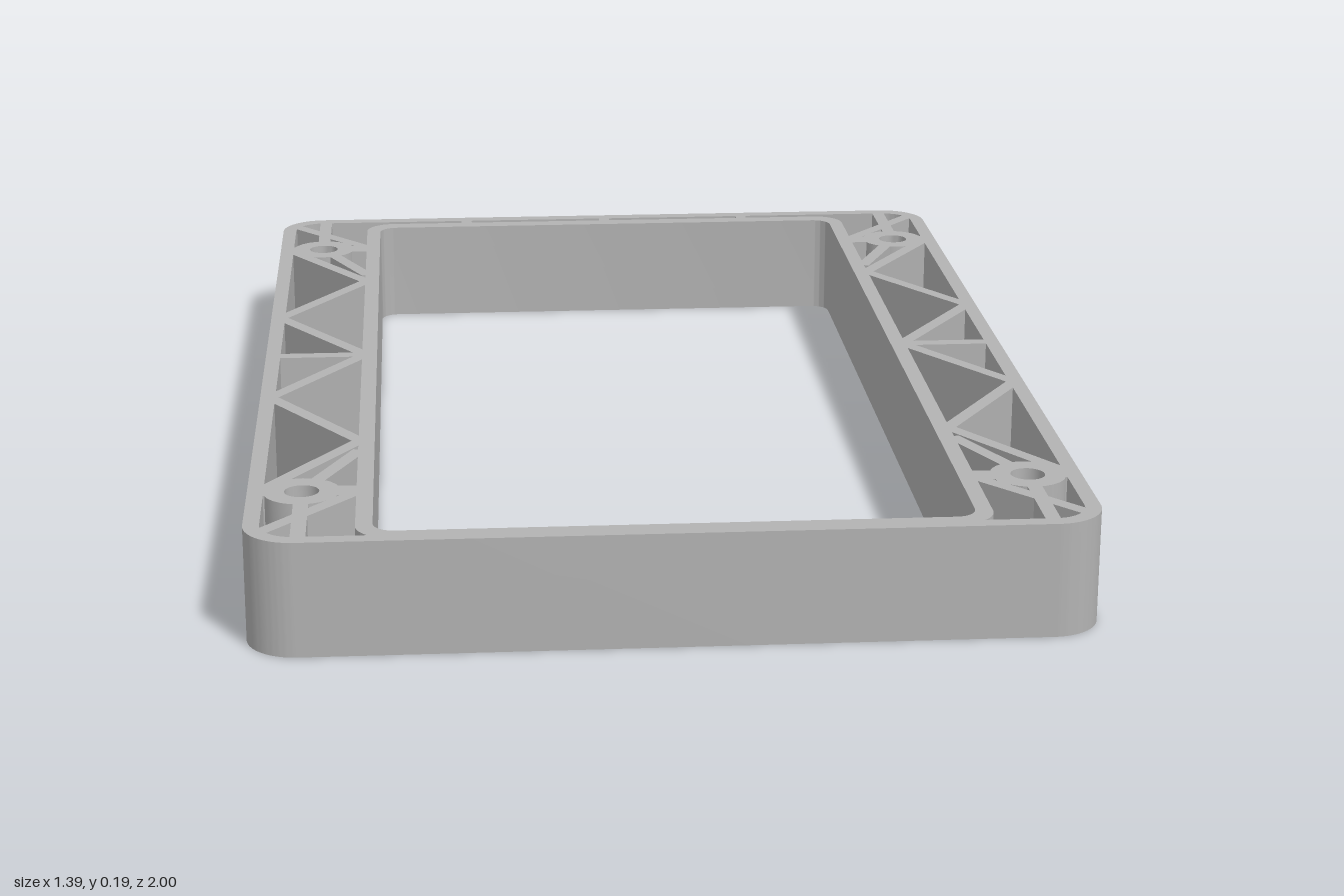
import * as THREE from 'three';
import { toCreasedNormals } from 'three/addons/utils/BufferGeometryUtils.js';

const HEIGHT = 0.195;

// Rounded rectangle outline in plan; shape y equals -z
function outline(target, halfW, zBack, zFront, r) {
  const y0 = -zFront, y1 = -zBack;
  target.moveTo(-halfW + r, y0);
  target.lineTo(halfW - r, y0);
  target.absarc(halfW - r, y0 + r, r, -Math.PI / 2, 0, false);
  target.lineTo(halfW, y1 - r);
  target.absarc(halfW - r, y1 - r, r, 0, Math.PI / 2, false);
  target.lineTo(-halfW + r, y1);
  target.absarc(-halfW + r, y1 - r, r, Math.PI / 2, Math.PI, false);
  target.lineTo(-halfW, y0 + r);
  target.absarc(-halfW + r, y0 + r, r, Math.PI, Math.PI * 1.5, false);
  target.closePath();
  return target;
}

// Stand a plan shape up to the full height of the frame
function raise(shape) {
  const geo = new THREE.ExtrudeGeometry(shape, { depth: HEIGHT, bevelEnabled: false, curveSegments: 12 });
  geo.rotateX(-Math.PI / 2);
  return toCreasedNormals(geo, 0.6);
}

export function createModel() {
  const group = new THREE.Group();
  const grey = new THREE.MeshStandardMaterial({ color: 0xb3b3b3 });
  grey.name = 'grey plastic';

  const add = (name, geo) => {
    const mesh = new THREE.Mesh(geo, grey);
    mesh.name = name;
    group.add(mesh);
    return mesh;
  };

  // Upright plate between two plan points
  const rib = (name, x1, z1, x2, z2, thickness = 0.025) => {
    const dx = x2 - x1, dz = z2 - z1;
    const mesh = add(name, new THREE.BoxGeometry(Math.hypot(dx, dz), HEIGHT, thickness));
    mesh.position.set((x1 + x2) / 2, HEIGHT / 2, (z1 + z2) / 2);
    mesh.rotation.y = -Math.atan2(dz, dx);
  };

  // Outer wall
  const outer = outline(new THREE.Shape(), 0.695, -1, 1, 0.085);
  outer.holes.push(outline(new THREE.Path(), 0.668, -0.973, 0.973, 0.058));
  add('outerWall', raise(outer));

  // Inner wall, merging with the outer wall at the front
  const inner = outline(new THREE.Shape(), 0.515, -0.957, 0.985, 0.055);
  inner.holes.push(outline(new THREE.Path(), 0.487, -0.925, 0.955, 0.035));
  add('innerWall', raise(inner));

  // Short spacers in the narrow gap at the back
  for (const x of [-0.3, 0, 0.3]) rib('backSpacer', x, -0.98, x, -0.95, 0.022);

  for (const sx of [-1, 1]) {
    rib('middleRib', sx * 0.68, 0, sx * 0.505, 0, 0.027);

    for (const sz of [-1, 1]) {
      // Zigzag bracing along the side
      const zigzag = [[0.512, 0.005], [0.677, 0.252], [0.512, 0.505], [0.677, 0.755]];
      for (let i = 0; i < 3; i++) {
        const [a, b] = [zigzag[i], zigzag[i + 1]];
        rib('sideBrace', sx * a[0], sz * a[1], sx * b[0], sz * b[1]);
      }

      // Screw boss
      const cx = sx * 0.605, cz = sz * 0.758;
      const boss = new THREE.Shape().absarc(cx, -cz, 0.064, 0, Math.PI * 2, false);
      boss.holes.push(new THREE.Path().absarc(cx, -cz, 0.029, 0, Math.PI * 2, true));
      add('screwBoss', raise(boss));

      // Ribs tying the boss to the walls and corner
      rib('bossRib', cx, sz * 0.81, cx, sz * 0.98);
      rib('bossRib', sx * 0.582, sz * 0.708, sx * 0.512, sz * 0.555);
      rib('bossRib', sx * 0.56, cz, sx * 0.505, cz, 0.045);
      rib('bossRib', sx * 0.65, cz, sx * 0.68, cz, 0.04);
      rib('cornerBrace', sx * 0.512, sz * 0.765, sx * 0.672, sz * 0.952);
    }
  }
  return group;
}
